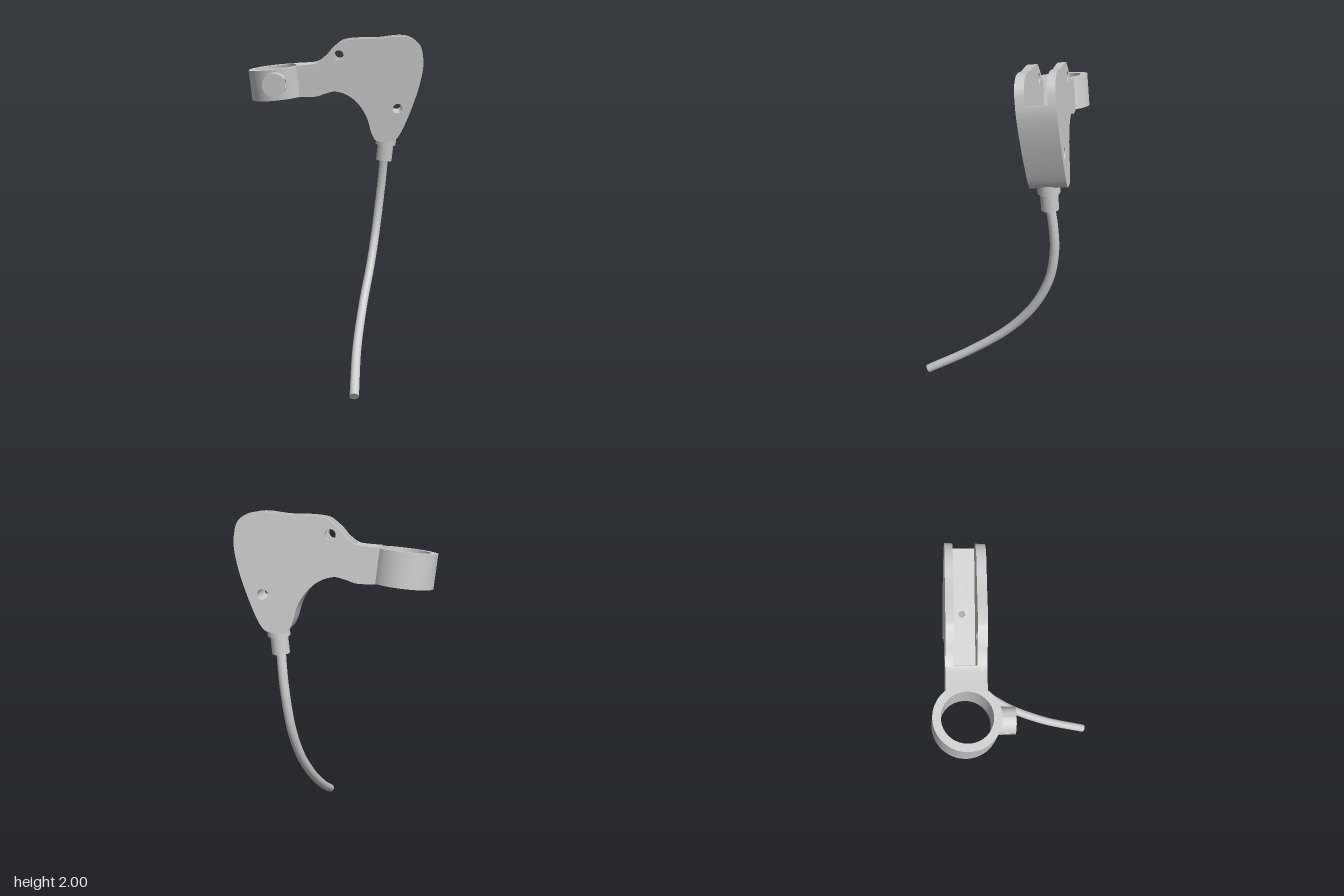
import * as THREE from 'three';
import { toCreasedNormals } from 'three/addons/utils/BufferGeometryUtils.js';

const metal = new THREE.MeshStandardMaterial({ color: 0xcccccc, side: THREE.DoubleSide });
metal.name = 'light grey metal';

const v2 = (x, y) => new THREE.Vector2(x, y);
const v3 = (x, y, z) => new THREE.Vector3(x, y, z);

function part(name, geometry, parent) {
  const mesh = new THREE.Mesh(geometry, metal);
  mesh.name = name;
  parent.add(mesh);
  return mesh;
}

// Side profile of the lever bracket, from the neck top round to the neck bottom
const profile = new THREE.SplineCurve([
  [-0.242, 1.812], [-0.18, 1.815], [-0.12, 1.824], [-0.07, 1.86], [-0.035, 1.90], [0.02, 1.945],
  [0.06, 1.957], [0.125, 1.963], [0.245, 1.965], [0.35, 1.977], [0.42, 1.97], [0.475, 1.935],
  [0.497, 1.88], [0.502, 1.79], [0.475, 1.66], [0.42, 1.50], [0.37, 1.395], [0.325, 1.365],
  [0.245, 1.365], [0.21, 1.41], [0.178, 1.51], [0.125, 1.59], [0.06, 1.64], [-0.01, 1.66],
  [-0.07, 1.647], [-0.125, 1.63], [-0.219, 1.628],
].map(([x, y]) => v2(x, y))).getSpacedPoints(220);

// Floor of the lever slot
function slotFloor(x) {
  if (x < -0.12) return 9;
  if (x < -0.07) return 1.83 - (x + 0.12) * 2.6;
  return 1.70 + (x + 0.07) * 0.26;
}

// Core profile under the slot, with a cable channel of the given half width in its floor
function coreProfile(half) {
  const points = profile.map(p => v2(p.x, Math.min(p.y, slotFloor(p.x))));
  const x0 = 0.18 - half, x1 = 0.18 + half;
  const first = points.findIndex(p => p.x > x0), last = points.findIndex(p => p.x > x1);
  points.splice(first, last - first,
    v2(x0, slotFloor(x0)), v2(x0, 1.66), v2(x1, 1.66), v2(x1, slotFloor(x1)));
  return points;
}

// The bracket leans and turns slightly, so its slices are sheared into place
const lean = new THREE.Matrix4().set(
  1, 0, -0.10, 0,
  0, 1, -0.11, 0,
  0.10, 0.11, 0.99, -0.357,
  0, 0, 0, 1);

function slice(points, holes, back, depth) {
  const shape = new THREE.Shape(points);
  for (const [x, y] of holes) {
    shape.holes.push(new THREE.Path().absarc(x, y, 0.028, 0, Math.PI * 2, true));
  }
  const geo = new THREE.ExtrudeGeometry(shape, { depth, bevelEnabled: false, curveSegments: 24 });
  geo.translate(0, 0, back).applyMatrix4(lean);
  return toCreasedNormals(geo, 0.5);
}

// Round lug with a cross hole: sheets running from hole rim to lug edge, bent to a cylinder
function addLug(parent) {
  const r = 0.068, hole = 0.028, front = 0.036, back = 0.06;
  const bend = y => Math.sqrt(Math.max(0, r * r - y * y));
  for (const side of [1, -1]) {
    const geo = new THREE.PlaneGeometry(1, 1, 96, 10);
    const pos = geo.attributes.position, uv = geo.attributes.uv;
    for (let i = 0; i < pos.count; i++) {
      const a = -side * uv.getX(i) * Math.PI * 2;
      const c = Math.cos(a), s = Math.sin(a);
      const edge = Math.min(r / Math.max(Math.abs(c), 1e-6),
        (s > 0 ? front : back) / Math.max(Math.abs(s), 1e-6));
      const d = THREE.MathUtils.lerp(hole, edge, uv.getY(i));
      pos.setXYZ(i, side * bend(c * d), c * d, s * d);
    }
    geo.computeVertexNormals();
    part('clampLugSide', geo, parent);
  }
  part('clampLugFace', new THREE.CircleGeometry(r, 48).translate(0, 0, front), parent);
  const bore = new THREE.CylinderGeometry(hole, hole, 1, 32, 1, true).rotateZ(Math.PI / 2);
  const pos = bore.attributes.position;
  for (let i = 0; i < pos.count; i++) pos.setX(i, Math.sign(pos.getX(i)) * bend(pos.getY(i)));
  part('clampLugBore', bore, parent);
}

// Cylinder between two points
function rod(name, a, b, radius, parent) {
  const mesh = part(name, new THREE.CylinderGeometry(radius, radius, a.distanceTo(b), 40), parent);
  mesh.position.copy(a).add(b).multiplyScalar(0.5);
  mesh.quaternion.setFromUnitVectors(v3(0, 1, 0), a.clone().sub(b).normalize());
}

export function createModel() {
  const model = new THREE.Group();
  model.name = 'leverBracketWithCable';

  // Bracket: two cheek plates and a slotted core
  const pivotHole = [0.01, 1.87], lowerHole = [0.36, 1.56];
  const front = -0.048, rear = -0.16, width = 0.2;
  const core = profile.map(p => v2(p.x, Math.min(p.y, slotFloor(p.x))));
  part('frontCheek', slice(profile, [pivotHole, lowerHole], front, -front), model);
  part('rearCheek', slice(profile, [pivotHole, lowerHole], -width, width + rear), model);

  // Core in layers, the middle ones stepped around the round cable channel
  const bore = 0.016, centre = -0.113, layers = 6, step = 2 * bore / layers;
  part('coreFront', slice(core, [lowerHole], centre + bore, front - centre - bore), model);
  part('coreRear', slice(core, [lowerHole], rear, centre - bore - rear), model);
  for (let i = 0; i < layers; i++) {
    const offset = -bore + (i + 0.5) * step;
    const outline = coreProfile(Math.sqrt(bore * bore - offset * offset));
    part('coreMiddle', slice(outline, [lowerHole], centre - bore + i * step, step), model);
  }

  // Frame shared by the clamp ring and its lug
  const up = v3(-0.11, 0.985, 0.11).normalize();
  const out = v3(-0.10, -0.11, 0.99);
  const across = up.clone().cross(out).normalize();
  out.crossVectors(across, up);
  const turn = new THREE.Quaternion().setFromRotationMatrix(
    new THREE.Matrix4().makeBasis(across, up, out));

  // Clamp ring
  const clamp = new THREE.Shape().absarc(0, 0, 0.165, 0, Math.PI * 2, false);
  clamp.holes.push(new THREE.Path().absarc(0, 0, 0.125, 0, Math.PI * 2, true));
  const ringGeo = new THREE.ExtrudeGeometry(clamp, { depth: 0.18, bevelEnabled: false, curveSegments: 64 });
  ringGeo.translate(0, 0, -0.09).rotateX(-Math.PI / 2);
  const ring = part('clampRing', toCreasedNormals(ringGeo, 0.5), model);
  ring.position.set(-0.348, 1.717, -0.304);
  ring.quaternion.copy(turn);

  // Clamp lug
  const lug = new THREE.Group();
  lug.name = 'clampLug';
  lug.position.set(-0.366, 1.70, -0.107);
  lug.quaternion.copy(turn);
  addLug(lug);
  model.add(lug);

  // Cable adjuster: wide collar over a narrower ferrule
  const top = v3(0.311, 1.41, -0.266), shoulder = v3(0.306, 1.34, -0.272), end = v3(0.297, 1.243, -0.28);
  rod('adjusterCollar', top, shoulder, 0.061, model);
  rod('adjusterFerrule', shoulder, end, 0.048, model);

  // Cable sweeping down and forward
  const path = new THREE.CatmullRomCurve3([
    v3(0.298, 1.27, -0.278), v3(0.289, 1.13, -0.300), v3(0.274, 0.98, -0.309), v3(0.250, 0.80, -0.285),
    v3(0.209, 0.60, -0.200), v3(0.150, 0.40, -0.048), v3(0.091, 0.20, 0.190), v3(0.052, 0.025, 0.462),
  ]);
  part('cable', new THREE.TubeGeometry(path, 100, 0.026, 24), model);
  const cap = part('cableEnd', new THREE.CircleGeometry(0.026, 24), model);
  cap.position.copy(path.getPoint(1));
  cap.quaternion.setFromUnitVectors(v3(0, 0, 1), path.getTangent(1));

  return model;
}
